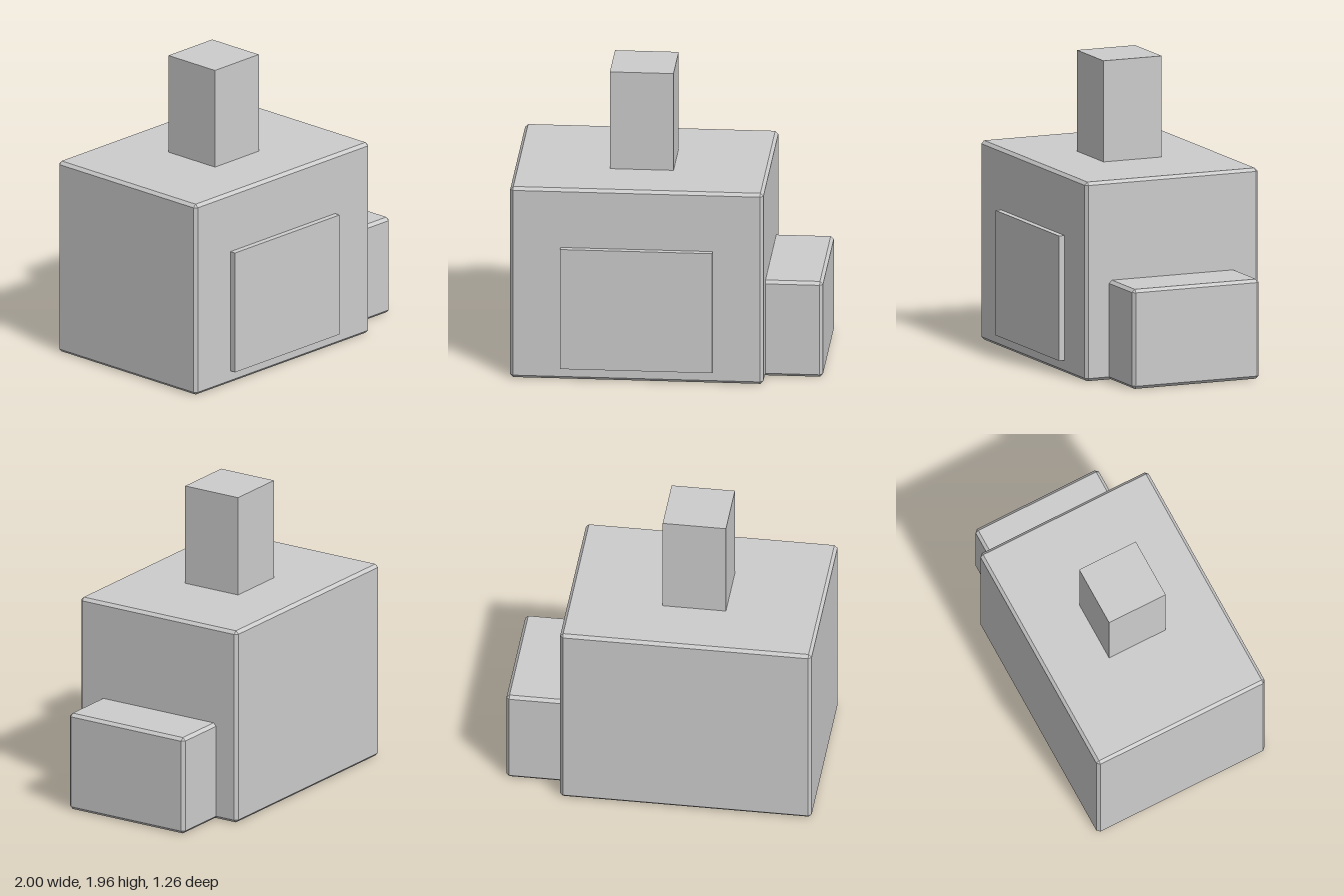
import * as THREE from 'three';
import { ConvexGeometry } from 'three/addons/geometries/ConvexGeometry.js';

const BEVEL = 0.02;

// Box between two corners; a bevel above zero chamfers every edge and corner.
function block(name, min, max, material, bevel = 0) {
  const size = max.map((v, i) => v - min[i]);
  let geometry;
  if (bevel > 0) {
    const points = [];
    for (const sx of [-1, 1]) for (const sy of [-1, 1]) for (const sz of [-1, 1]) {
      const signs = [sx, sy, sz];
      // each corner becomes three points, one on each adjoining face
      for (let face = 0; face < 3; face++) {
        points.push(new THREE.Vector3(
          ...signs.map((s, i) => s * (size[i] / 2 - (i === face ? 0 : bevel)))));
      }
    }
    geometry = new ConvexGeometry(points);
  } else {
    geometry = new THREE.BoxGeometry(...size);
  }
  const mesh = new THREE.Mesh(geometry, material);
  mesh.name = name;
  mesh.position.set(...min.map((v, i) => (v + max[i]) / 2));
  return mesh;
}

export function createModel() {
  const grey = new THREE.MeshStandardMaterial({ color: 0xcccccc });
  grey.name = 'light grey';

  const model = new THREE.Group();
  model.name = 'blockHouse';
  model.add(
    // main chamfered body
    block('body', [-1, 0, -0.63], [0.63, 1.3, 0.59], grey, BEVEL),
    // lower annex on the left side, sunk into the body
    block('sideAnnex', [0.58, 0, -0.47], [1, 0.65, 0.425], grey, BEVEL),
    // sharp-edged tower on the roof
    block('chimney', [-0.39, 1.28, -0.225], [0.02, 1.96, 0.185], grey),
    // raised panel on the front
    block('frontPanel', [-0.675, 0.085, 0.57], [0.305, 0.9, 0.63], grey),
  );
  return model;
}
